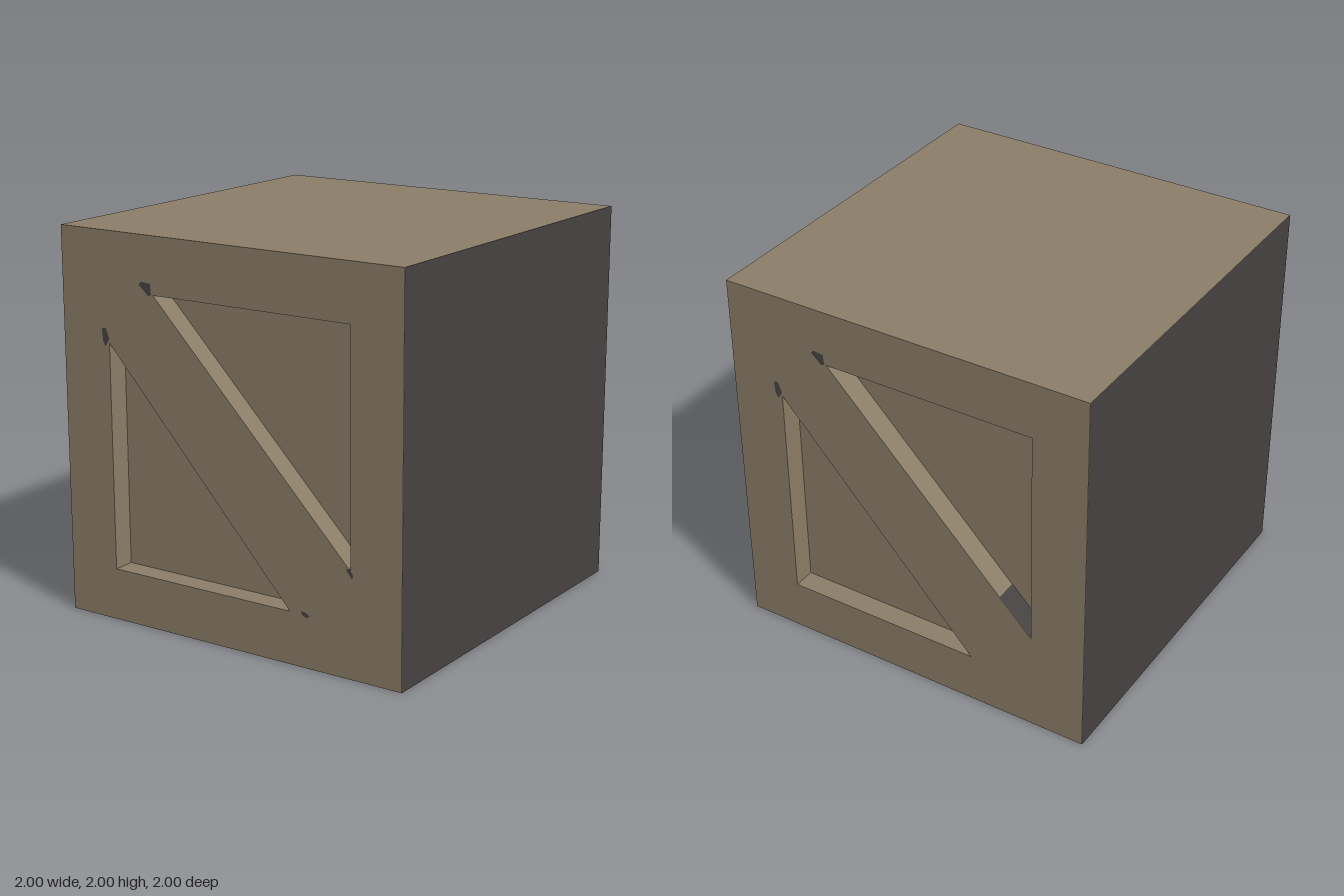
import * as THREE from 'three';

const DEPTH = 0.115; // depth of the triangular recesses
const HALF = 0.998;  // half width of the wood, just inside the side skins

const wood = new THREE.MeshStandardMaterial({ color: 0x8b7d67 });
wood.name = 'brown wood';
const dark = new THREE.MeshStandardMaterial({ color: 0x474242 });
dark.name = 'dark grey';

const polygon = (C, pts) => new C(pts.map(([x, y]) => new THREE.Vector2(x, y)));

// The +x side leans in very slightly towards the front
function lean(geometry) {
  const p = geometry.attributes.position;
  for (let i = 0; i < p.count; i++) {
    if (p.getX(i) > 0.9) p.setX(i, p.getX(i) - 0.005 * (p.getZ(i) + 1));
  }
  geometry.computeVertexNormals();
  return geometry;
}

function addMesh(parent, name, geometry, material) {
  const mesh = new THREE.Mesh(geometry, material);
  mesh.name = name;
  parent.add(mesh);
  return mesh;
}

// Framed board with a diagonal brace between two triangular openings
function panelGeometry() {
  const shape = polygon(THREE.Shape, [[-HALF, 0], [HALF, 0], [HALF, 2], [-HALF, 2]]);
  shape.holes.push(
    polygon(THREE.Path, [[-0.43, 1.71], [0.705, 1.71], [0.705, 0.54]]),
    polygon(THREE.Path, [[-0.71, 1.44], [-0.71, 0.27], [0.36, 0.27]])
  );
  const g = new THREE.ExtrudeGeometry(shape, { depth: DEPTH, bevelEnabled: false });
  return g.translate(0, 0, 1 - DEPTH);
}

// Small dark chips near the ends of the brace
const upperChips = [
  [[-0.515, 1.755], [-0.46, 1.705], [-0.44, 1.71], [-0.445, 1.765], [-0.5, 1.77]],
  [[-0.735, 1.42], [-0.71, 1.46], [-0.73, 1.515], [-0.755, 1.51], [-0.75, 1.45]]
];
const lowerChips = [
  [[0.425, 0.27], [0.455, 0.255], [0.475, 0.265], [0.45, 0.282], [0.43, 0.285]],
  [[0.68, 0.545], [0.715, 0.5], [0.72, 0.52], [0.7, 0.55]]
];

function addChips(parent, chips) {
  for (const pts of chips) {
    const g = new THREE.ShapeGeometry(polygon(THREE.Shape, pts));
    addMesh(parent, 'chip', g.translate(0, 0, 1.001), dark);
  }
}

export function createModel() {
  const crate = new THREE.Group();
  crate.name = 'crate';

  // Solid middle, whose ends form the recess floors
  const core = new THREE.BoxGeometry(2 * HALF, 2, 2 - 2 * DEPTH).translate(0, 1, 0);
  addMesh(crate, 'core', lean(core), wood);

  // Front and back boards
  addMesh(crate, 'frontPanel', lean(panelGeometry()), wood);
  addMesh(crate, 'backPanel', panelGeometry().rotateY(Math.PI), wood);

  const frontMarks = new THREE.Group();
  frontMarks.name = 'frontMarks';
  addChips(frontMarks, [...upperChips, ...lowerChips]);
  crate.add(frontMarks);

  const backMarks = new THREE.Group();
  backMarks.name = 'backMarks';
  backMarks.rotation.y = Math.PI;
  addChips(backMarks, upperChips);
  crate.add(backMarks);

  // Dark patch on the slanted wall at the low end of the back recess
  const a = [0.53, 0.724], b = [0.703, 0.546];
  const patch = new THREE.PlaneGeometry(Math.hypot(b[0] - a[0], b[1] - a[1]), DEPTH)
    .rotateX(-Math.PI / 2)
    .rotateZ(Math.atan2(b[1] - a[1], b[0] - a[0]))
    .translate((a[0] + b[0]) / 2, (a[1] + b[1]) / 2, 1 - DEPTH / 2);
  addMesh(backMarks, 'wallPatch', patch, dark);

  // Plain dark sides
  for (const [name, s] of [['leftSide', 1], ['rightSide', -1]]) {
    const side = new THREE.PlaneGeometry(2, 2).rotateY(s * Math.PI / 2).translate(s, 1, 0);
    addMesh(crate, name, lean(side), dark);
  }
  return crate;
}
